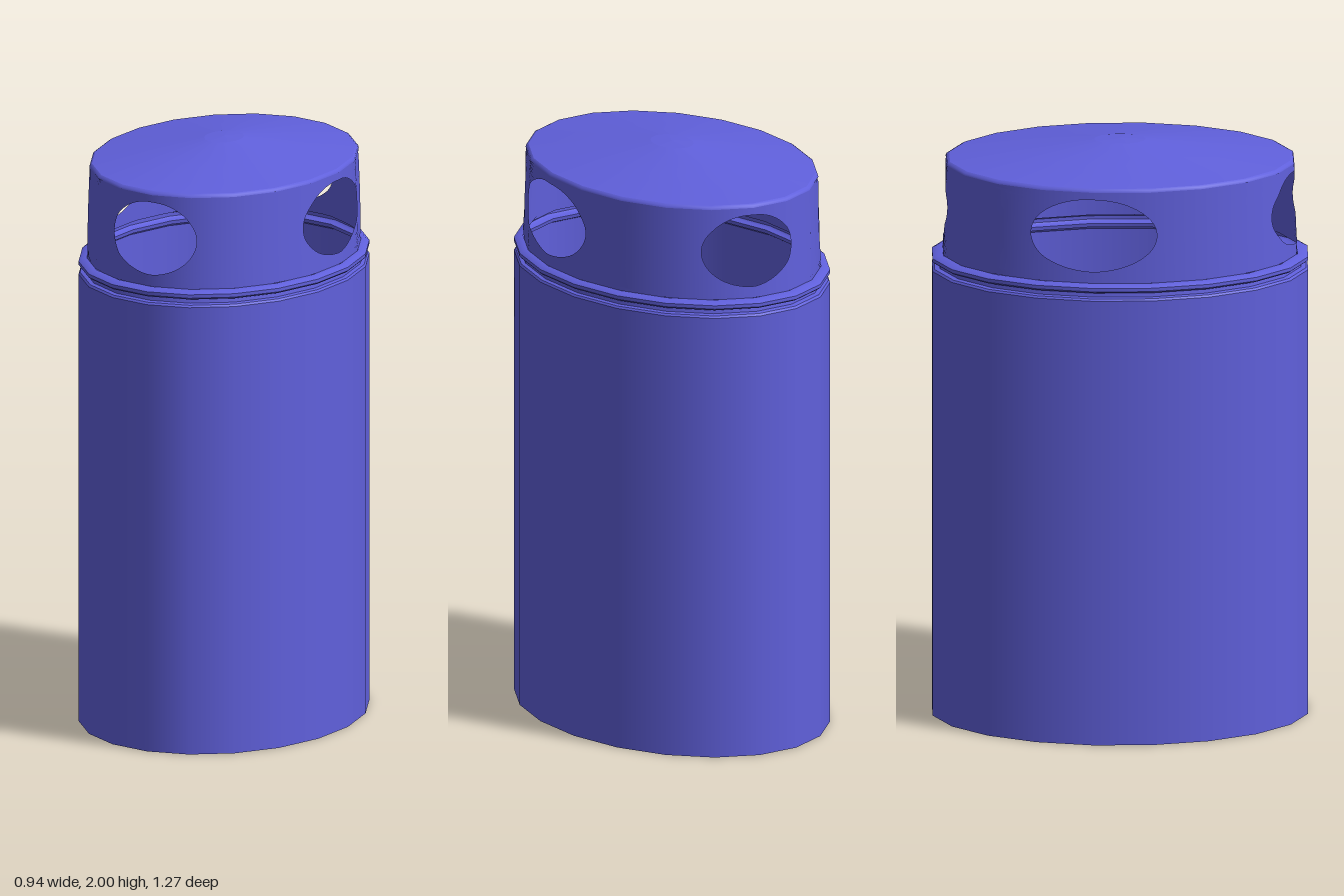
import * as THREE from 'three';

const SIDES = 20;
const HALF = Math.PI / SIDES;      // half the angle of one facet
const DEPTH = 1.35;                // oval stretch along z
const material = new THREE.MeshStandardMaterial({ color: 0x6060dc, side: THREE.DoubleSide });

// Oval lathe; every profile point is doubled where the edge should stay sharp
function ovalLathe(name, profile) {
  const points = [];
  for (const [r, y, sharp] of profile) {
    points.push(new THREE.Vector2(r, y));
    if (sharp) points.push(new THREE.Vector2(r, y));
  }
  const geometry = new THREE.LatheGeometry(points, SIDES, HALF);
  geometry.scale(1, 1, DEPTH);
  const mesh = new THREE.Mesh(geometry, material);
  mesh.name = name;
  return mesh;
}

// Point on the faceted oval wall of the lid
const WALL_BOTTOM = 1.61, WALL_TOP = 1.925;
function wallPoint(angle, y) {
  const f = (y - WALL_BOTTOM) / (WALL_TOP - WALL_BOTTOM);
  const mid = Math.round(angle / (2 * HALF)) * 2 * HALF;
  const r = (0.449 - 0.008 * f) * Math.cos(HALF) / Math.cos(angle - mid);
  return [r * Math.sin(angle), y, r * Math.cos(angle) * DEPTH];
}

// A quarter of the lid wall, lofted from its round opening out to its border
function wallQuarter(centre) {
  const STEPS = 64, RINGS = 6, holeY = 1.775;
  const positions = [], normals = [], index = [];
  for (let j = 0; j <= RINGS; j++) {
    const f = j / RINGS;
    for (let i = 0; i <= STEPS; i++) {
      const phi = (i / STEPS) * Math.PI * 2;
      const c = Math.cos(phi), s = Math.sin(phi);
      const k = 1 / Math.max(Math.abs(c), Math.abs(s));
      const midY = (WALL_BOTTOM + WALL_TOP) / 2, halfY = (WALL_TOP - WALL_BOTTOM) / 2;
      const angle = centre + THREE.MathUtils.lerp(Math.asin(0.362 * c), k * c * Math.PI / 4, f);
      const y = THREE.MathUtils.lerp(holeY + 0.125 * s, midY + halfY * k * s, f);
      positions.push(...wallPoint(angle, y));
      const n = new THREE.Vector3(Math.sin(angle), 0.02, Math.cos(angle) / DEPTH).normalize();
      normals.push(n.x, n.y, n.z);
      if (j < RINGS && i < STEPS) {
        const a = j * (STEPS + 1) + i, b = a + 1, d = a + STEPS + 1;
        index.push(a, d, d + 1, a, d + 1, b);
      }
    }
  }
  const geometry = new THREE.BufferGeometry();
  geometry.setAttribute('position', new THREE.Float32BufferAttribute(positions, 3));
  geometry.setAttribute('normal', new THREE.Float32BufferAttribute(normals, 3));
  geometry.setIndex(index);
  return new THREE.Mesh(geometry, material);
}

export function createModel() {
  const model = new THREE.Group();
  model.name = 'litterBin';

  // Tall oval container with a flat bottom
  model.add(ovalLathe('body', [
    [0, 0], [0.476, 0, true], [0.476, 1.555, true], [0.471, 1.562, true], [0.458, 1.565],
  ]));

  // Groove and projecting lip between container and lid
  model.add(ovalLathe('lidRim', [
    [0.458, 1.565], [0.456, 1.578, true], [0.47, 1.582], [0.476, 1.588, true],
    [0.476, 1.6, true], [0.464, 1.608], [0.449, 1.61],
  ]));

  // Lid wall with four round openings
  const wall = new THREE.Group();
  wall.name = 'lidWall';
  for (let q = 0; q < 4; q++) {
    const quarter = wallQuarter(THREE.MathUtils.degToRad(-10 + 90 * q));
    quarter.name = 'openingPanel' + (q + 1);
    wall.add(quarter);
  }
  model.add(wall);

  // Shallow domed top with a small flat centre
  model.add(ovalLathe('lidTop', [
    [0.441, 1.925], [0.439, 1.932], [0.432, 1.937, true],
    [0.25, 1.968], [0.065, 1.997, true], [0, 2],
  ]));

  return model;
}
